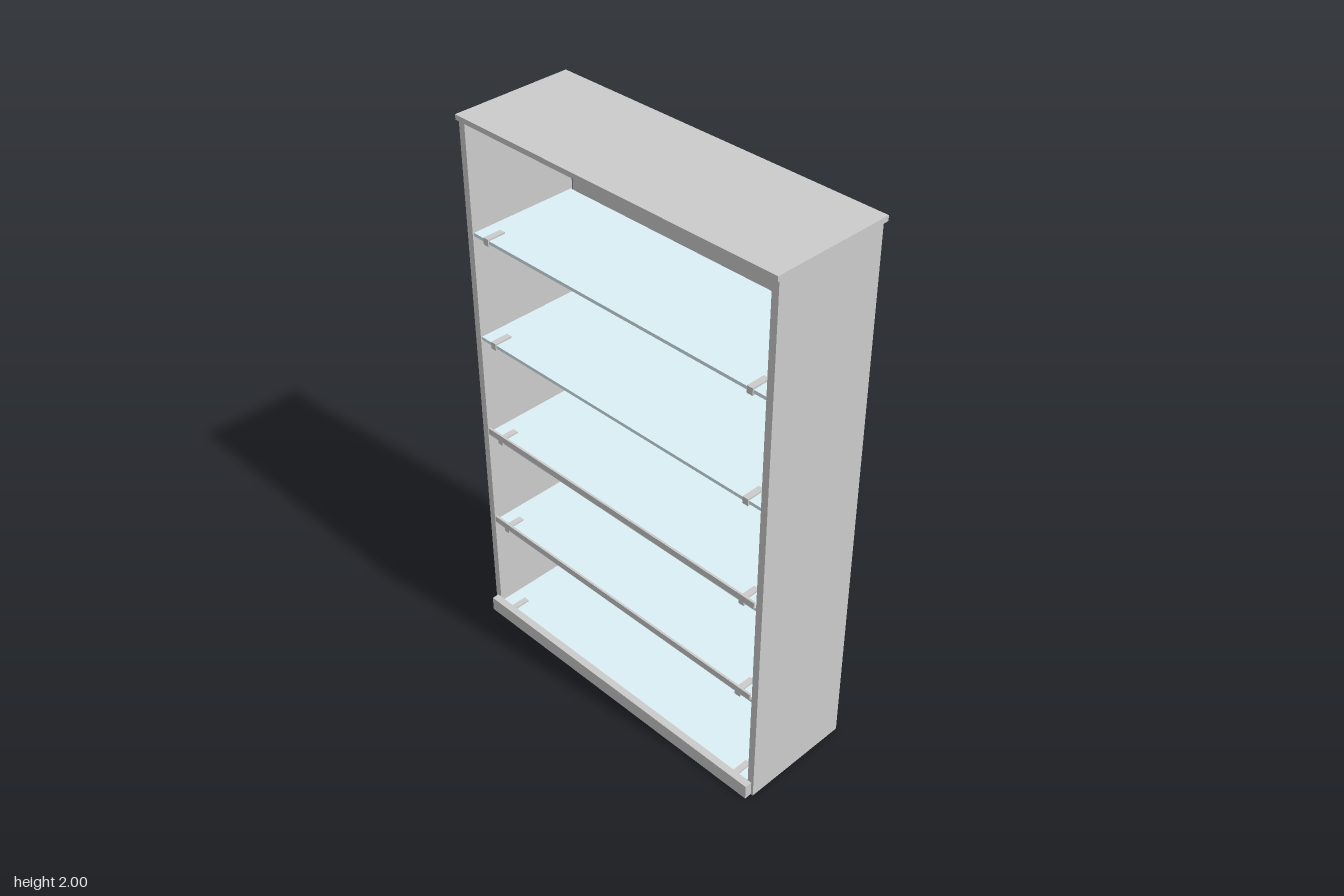
import * as THREE from 'three';

const grey = new THREE.MeshStandardMaterial({ color: 0xcccccc });
const glass = new THREE.MeshStandardMaterial({ color: 0xdcf0f5 });

// Box given by its minimum and maximum on each axis
function box(name, [x0, x1], [y0, y1], [z0, z1], material = grey) {
  const mesh = new THREE.Mesh(new THREE.BoxGeometry(x1 - x0, y1 - y0, z1 - z0), material);
  mesh.position.set((x0 + x1) / 2, (y0 + y1) / 2, (z0 + z1) / 2);
  mesh.name = name;
  return mesh;
}

export function createModel() {
  const group = new THREE.Group();
  group.name = 'bookcase';

  // Carcass: slightly overhanging top, two sides, inset back and front plinth
  group.add(
    box('top', [-0.65, 0.65], [1.982, 2], [-0.232, 0.215]),
    box('rightSide', [-0.647, -0.622], [0, 1.982], [-0.216, 0.205]),
    box('leftSide', [0.622, 0.647], [0, 1.982], [-0.216, 0.205]),
    box('backPanel', [-0.612, 0.612], [0.01, 1.982], [-0.222, -0.21]),
    box('plinth', [-0.638, 0.638], [0, 0.056], [0.205, 0.232])
  );

  // Five evenly spaced glass shelves, each held by two front clips
  for (let i = 0; i < 5; i++) {
    const y = 0.028 + i * 0.391;
    const shelf = new THREE.Group();
    shelf.name = 'shelf' + (i + 1);
    shelf.add(box('glassPane', [-0.622, 0.622], [y - 0.006, y + 0.006], [-0.21, 0.2], glass));
    for (const x of [-0.56, 0.56]) {
      shelf.add(box('clip', [x - 0.011, x + 0.011], [y - 0.013, y + 0.012], [0.135, 0.204]));
    }
    // Low retaining rail on the second and third shelves
    if (i === 1 || i === 2) {
      shelf.add(box('rail', [-0.615, 0.615], [y + 0.007, y + 0.03], [0.2, 0.208]));
    }
    group.add(shelf);
  }
  return group;
}
